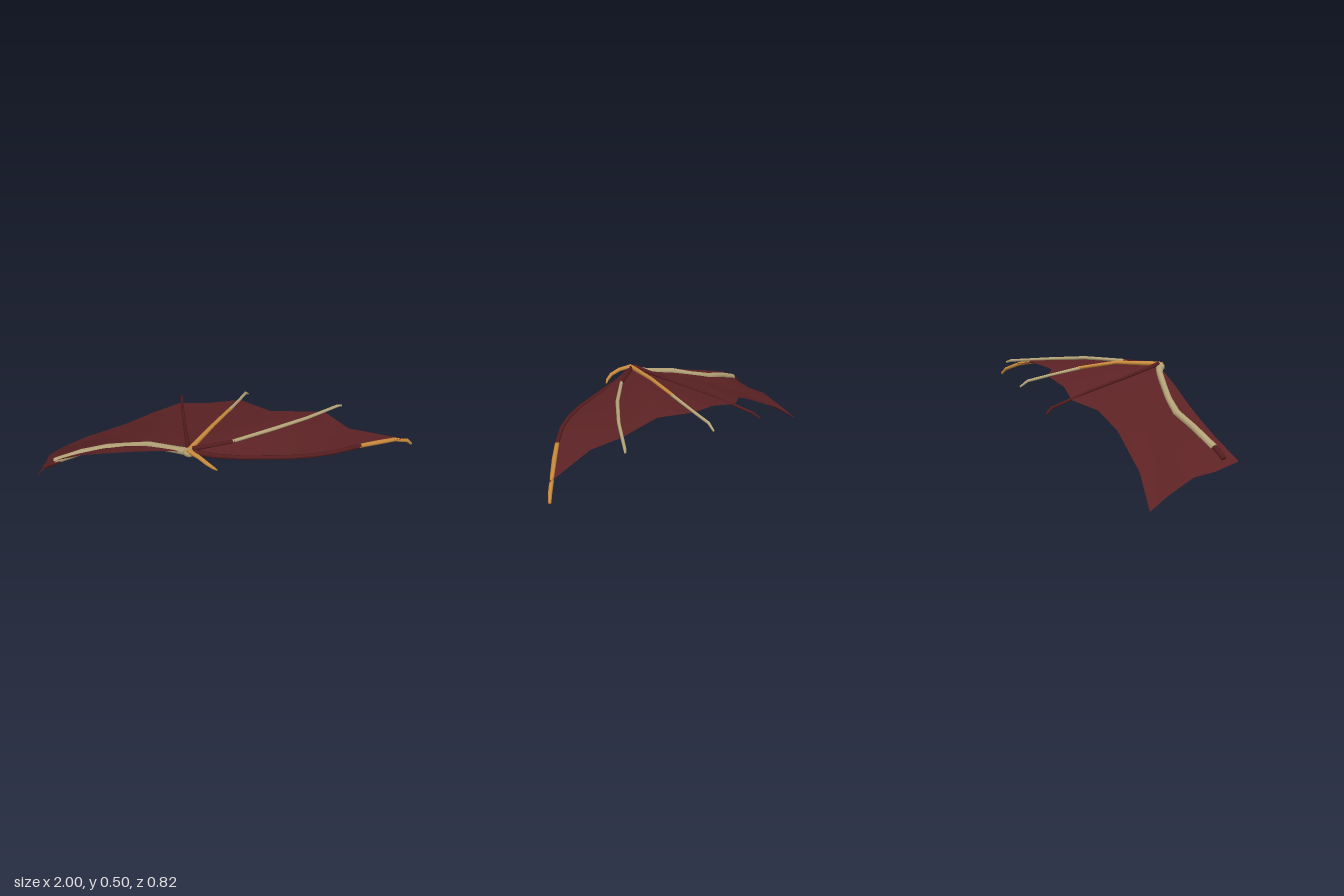
import * as THREE from 'three';

const mat = (name, color, side = THREE.FrontSide) => {
  const m = new THREE.MeshStandardMaterial({ color, side });
  m.name = name;
  return m;
};

// Tapered bone along points [x, y, z, radius], closed at both ends
function boneGeometry(points, sides = 8) {
  const pos = [], idx = [], n = points.length;
  const p = points.map(([x, y, z]) => new THREE.Vector3(x, y, z));
  const up = new THREE.Vector3(0, 1, 0);
  for (let i = 0; i < n; i++) {
    const t = p[Math.min(i + 1, n - 1)].clone().sub(p[Math.max(i - 1, 0)]).normalize();
    const e1 = t.clone().cross(up).normalize();
    const e2 = e1.clone().cross(t);
    for (let j = 0; j < sides; j++) {
      const a = (j / sides) * Math.PI * 2, r = points[i][3];
      const v = p[i].clone().addScaledVector(e1, Math.cos(a) * r).addScaledVector(e2, Math.sin(a) * r);
      pos.push(v.x, v.y, v.z);
    }
  }
  const first = n * sides;
  pos.push(...p[0].toArray(), ...p[n - 1].toArray());
  for (let j = 0; j < sides; j++) {
    const k = (j + 1) % sides, end = (n - 1) * sides;
    for (let i = 0; i < n - 1; i++) {
      const a = i * sides + j, b = i * sides + k;
      idx.push(a, a + sides, b, b, a + sides, b + sides);
    }
    idx.push(first, j, k, first + 1, end + k, end + j);
  }
  const g = new THREE.BufferGeometry();
  g.setAttribute('position', new THREE.Float32BufferAttribute(pos, 3));
  g.setIndex(idx);
  g.computeVertexNormals();
  return g;
}

// Skin fanned out from the wrist: neighbouring rays are joined by strips
function skinGeometry(rays, steps = 8) {
  const pos = [], idx = [], row = steps + 1;
  rays.forEach((curve, r) => {
    for (let k = 0; k <= steps; k++) pos.push(...curve(k / steps).toArray());
    if (r === 0) return;
    for (let k = 0; k < steps; k++) {
      const a = (r - 1) * row + k, b = r * row + k;
      if (k > 0) idx.push(a, b, a + 1);
      idx.push(b, b + 1, a + 1);
    }
  });
  const g = new THREE.BufferGeometry();
  g.setAttribute('position', new THREE.Float32BufferAttribute(pos, 3));
  g.setIndex(idx);
  g.computeVertexNormals();
  return g;
}

export function createModel() {
  const group = new THREE.Group();
  const skin = mat('wing skin red', 0x5c2224, THREE.DoubleSide);
  const red = mat('dark red', 0x541d1f);
  const tan = mat('bone tan', 0xb5a478);
  const orange = mat('claw orange', 0xc98a3c);
  const add = (name, geometry, material) => {
    const m = new THREE.Mesh(geometry, material);
    m.name = name;
    group.add(m);
    return m;
  };

  const wrist = new THREE.Vector3(-0.13, 0.462, 0.335);

  // Ray through given points, and straight ray with an upward bulge
  const along = (...pts) => {
    const c = new THREE.CatmullRomCurve3([wrist, ...pts.map((q) => new THREE.Vector3(...q))]);
    return (t) => c.getPoint(t);
  };
  const bulged = (x, y, z, bulge) => (t) => {
    const v = wrist.clone().lerp(new THREE.Vector3(x, y, z), t);
    v.y += Math.sin(t * Math.PI) * bulge;
    return v;
  };

  // Membrane, from the leading edge round the scalloped rear to the wing tip
  add('membrane', skinGeometry([
    along([-0.35, 0.41, 0.285], [-0.56, 0.345, 0.235], [-0.86, 0.245, 0.19], [-0.98, 0.157, 0.234]),
    along([-0.35, 0.41, 0.22], [-0.6, 0.318, 0.14], [-0.87, 0.22, 0.145], [-0.98, 0.125, 0.1]),
    bulged(-0.985, 0.117, -0.015, 0.045),
    bulged(-0.99, 0.055, -0.15, 0.06),
    bulged(-1, 0, -0.25, 0.07),
    bulged(-0.83, 0.125, -0.2, 0.045),
    bulged(-0.57, 0.26, -0.17, 0.025),
    bulged(-0.42, 0.33, -0.195, 0.012),
    bulged(-0.28, 0.36, -0.262, 0.005),
    bulged(-0.12, 0.395, -0.225, 0.005),
    bulged(0.06, 0.425, -0.232, 0.02),
    bulged(0.23, 0.43, -0.132, 0.01),
    bulged(0.52, 0.437, -0.145, 0.015),
    bulged(0.65, 0.398, -0.06, 0.012),
    along([0.13, 0.43, 0.315], [0.42, 0.422, 0.258], [0.68, 0.405, 0.125], [0.94, 0.35, -0.068]),
  ]), skin);

  // Forearm with its end joint, and the wrist knuckle
  add('forearm', boneGeometry([
    [-0.12, 0.465, 0.345, 0.022], [-0.2, 0.438, 0.295, 0.019], [-0.36, 0.405, 0.22, 0.017],
    [-0.48, 0.358, 0.175, 0.017], [-0.6, 0.315, 0.143, 0.019], [-0.74, 0.275, 0.145, 0.017], [-0.89, 0.212, 0.156, 0.018],
  ]), tan);
  add('forearmJoint', boneGeometry([
    [-0.86, 0.22, 0.158, 0.014], [-0.91, 0.198, 0.163, 0.016], [-0.955, 0.172, 0.167, 0.012],
  ]), red);
  const knuckle = add('wristKnuckle', new THREE.SphereGeometry(0.028, 10, 8), tan);
  knuckle.position.set(-0.135, 0.458, 0.34);
  knuckle.scale.set(1, 0.8, 0.9);

  // Inner finger
  add('innerFinger', boneGeometry([
    [-0.14, 0.478, 0.325, 0.012], [-0.19, 0.432, 0.1, 0.009], [-0.245, 0.388, -0.15, 0.008],
    [-0.287, 0.334, -0.375, 0.007], [-0.3, 0.31, -0.41, 0.005],
  ]), red);

  // Second finger
  add('secondFingerBase', boneGeometry([
    [-0.13, 0.475, 0.335, 0.013], [-0.04, 0.486, 0.12, 0.01], [0.02, 0.462, -0.07, 0.009],
  ]), orange);
  add('secondFingerTip', boneGeometry([
    [0.018, 0.462, -0.06, 0.009], [0.058, 0.428, -0.23, 0.008],
    [0.08, 0.405, -0.34, 0.008], [0.09, 0.375, -0.38, 0.005],
  ]), tan);

  // Third finger
  add('thirdFingerBase', boneGeometry([
    [-0.13, 0.474, 0.33, 0.013], [-0.03, 0.472, 0.285, 0.01], [0.08, 0.471, 0.232, 0.009],
  ]), red);
  add('thirdFingerTip', boneGeometry([
    [0.07, 0.472, 0.238, 0.009], [0.27, 0.47, 0.095, 0.01], [0.43, 0.453, -0.05, 0.009],
    [0.59, 0.433, -0.222, 0.008], [0.61, 0.423, -0.242, 0.005],
  ]), tan);

  // Leading-edge finger with its long claw
  add('leadingFinger', boneGeometry([
    [-0.13, 0.462, 0.335, 0.016], [0, 0.438, 0.325, 0.012], [0.13, 0.43, 0.312, 0.011], [0.36, 0.424, 0.272, 0.011],
    [0.47, 0.42, 0.24, 0.011], [0.58, 0.415, 0.19, 0.011], [0.71, 0.403, 0.1, 0.011],
  ]), red);
  add('leadingClaw', boneGeometry([
    [0.7, 0.404, 0.107, 0.011], [0.8, 0.382, 0.03, 0.012], [0.89, 0.358, -0.043, 0.011],
    [0.965, 0.32, -0.1, 0.01], [0.99, 0.288, -0.12, 0.007],
  ]), orange);

  // Thumb claw
  add('thumbClaw', boneGeometry([
    [-0.14, 0.474, 0.345, 0.012], [-0.08, 0.464, 0.38, 0.011], [-0.035, 0.443, 0.402, 0.01],
    [-0.005, 0.422, 0.404, 0.008], [0.012, 0.407, 0.398, 0.004],
  ]), orange);

  return group;
}
